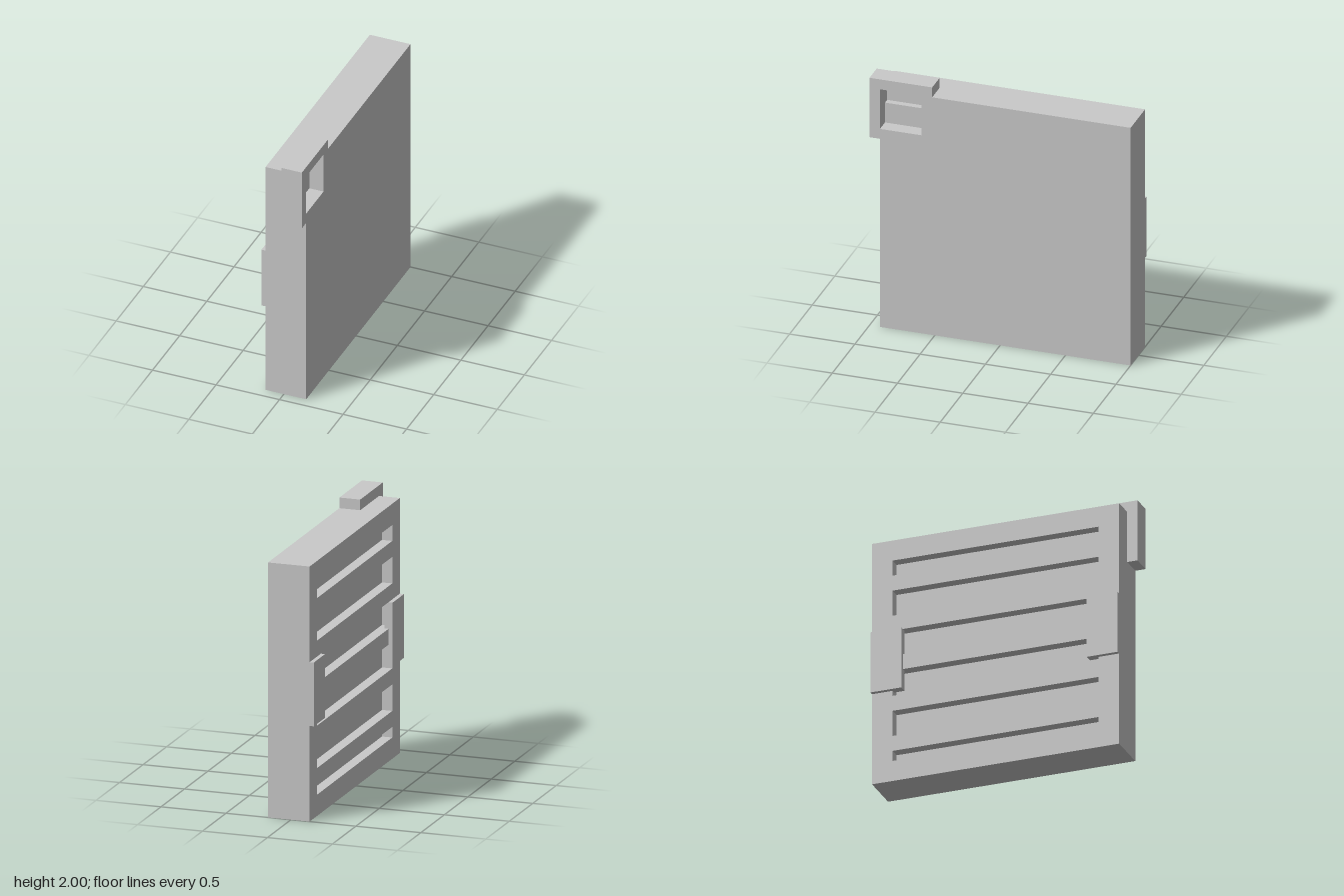
import * as THREE from 'three';

// Traces a closed loop of [z, y] points. z is flipped because the slab is turned
// to face +x, so the order is reversed to keep the loop counter-clockwise.
function trace(path, points) {
  path.setFromPoints(points.map(([z, y]) => new THREE.Vector2(-z, y)).reverse());
  path.closePath();
  return path;
}

const rect = (z0, z1, y0, y1) => [[z0, y0], [z1, y0], [z1, y1], [z0, y1]];

export function createModel() {
  const group = new THREE.Group();
  const grey = new THREE.MeshStandardMaterial({ color: 0xc9c9c9 });
  grey.name = 'plain grey';

  // Upright slab between x0 and x1 with an outline and optional openings
  function slab(name, x0, x1, outline, holes = []) {
    const shape = trace(new THREE.Shape(), outline);
    holes.forEach((h) => shape.holes.push(trace(new THREE.Path(), h)));
    const geometry = new THREE.ExtrudeGeometry(shape, { depth: x1 - x0, bevelEnabled: false });
    geometry.rotateY(Math.PI / 2).translate(x0, 0, 0);
    const mesh = new THREE.Mesh(geometry, grey);
    mesh.name = name;
    group.add(mesh);
  }

  const back = -1, front = 0.92, top = 1.92;
  const xTab = -0.176, xGrille = -0.144, xFloor = -0.064, xFrame = 0.016, xFace = 0.176;

  // Slotted face: a recess divided by five horizontal bars
  const slots = [];
  let y = 0.16;
  for (let i = 0; i < 5; i++) {
    const bar = 0.24 + i * 0.32;
    slots.push(rect(-0.84, 0.76, y, bar));
    y = bar + 0.12;
  }
  slots.push(rect(-0.84, 0.76, y, 1.76));
  slab('slottedFace', xGrille, xFloor, rect(back, front, 0, top), slots);

  // Solid core, and the plain face with its corner cut out for the frame
  slab('core', xFloor, xFrame, rect(back, front, 0, top));
  slab('plainFace', xFrame, xFace, [
    [back, 0], [front, 0], [front, 1.52], [0.52, 1.52], [0.52, top], [back, top],
  ]);

  // Square corner frame with a stepped recess
  slab('cornerFrame', xFrame, xFace, rect(0.52, 1, 1.52, 2), [rect(0.6, 0.92, 1.6, 1.92)]);
  slab('recessStep', xFrame, 0.064, rect(0.6, 0.92, 1.6, 1.76));

  // Raised tabs, sunk slightly into the slotted face
  slab('backTab', xTab, -0.112, rect(back, -0.76, 0.72, 1.2));
  slab('frontTab', xTab, -0.112, rect(0.68, front, 0.72, 1.2));

  return group;
}
